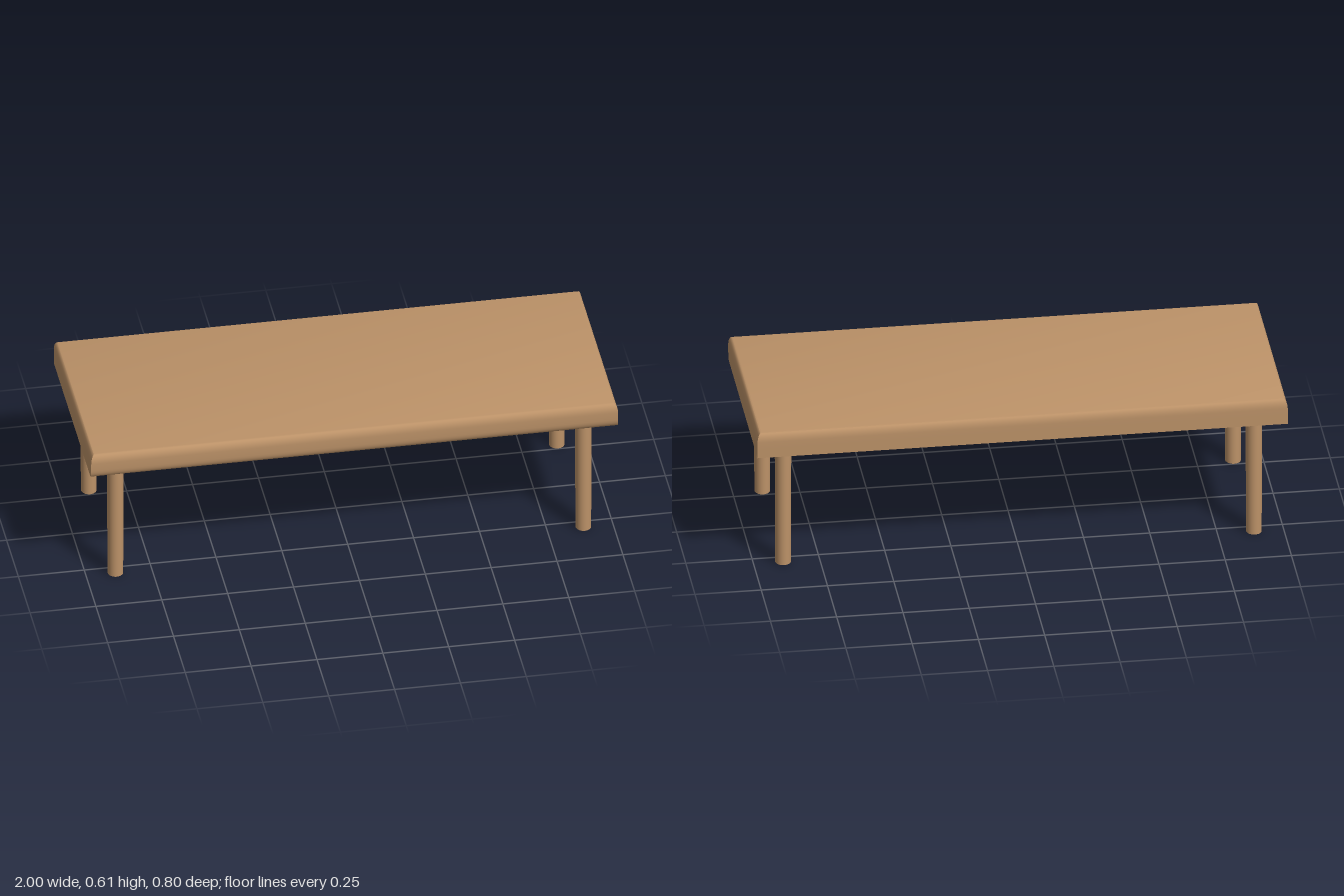
import * as THREE from 'three';
import { toCreasedNormals } from 'three/addons/utils/BufferGeometryUtils.js';

const STEPS = 6; // segments per rounded edge
const Y0 = 0.505, Y1 = 0.605;

// Slab made of stacked rectangular rings: the upper edge is rounded all round,
// the lower edge only along the front.
function slabGeometry() {
  const points = [], index = [];
  const ring = (y, inset, front) => {
    const x = 1 - inset, back = -0.4 + inset, f = 0.4 - front;
    points.push(-x, y, f, x, y, f, x, y, back, -x, y, back);
  };
  const inset = (t, r) => r * (1 - Math.cos(t));
  for (let i = 0; i <= STEPS; i++) {
    const t = (1 - i / STEPS) * Math.PI / 2;
    ring(Y0 + 0.035 * (1 - Math.sin(t)), 0, inset(t, 0.02));
  }
  for (let i = 0; i <= STEPS; i++) {
    const t = (i / STEPS) * Math.PI / 2;
    ring(Y1 - 0.035 * (1 - Math.sin(t)), inset(t, 0.016), inset(t, 0.02));
  }
  const rings = points.length / 12;
  for (let r = 0; r < rings - 1; r++) {
    for (let k = 0; k < 4; k++) {
      const a = r * 4 + k, b = r * 4 + (k + 1) % 4;
      index.push(a, b, b + 4, a, b + 4, a + 4);
    }
  }
  // Underside and upper face
  const u = (rings - 1) * 4;
  index.push(0, 2, 1, 0, 3, 2, u, u + 1, u + 2, u, u + 2, u + 3);
  const geometry = new THREE.BufferGeometry();
  geometry.setAttribute('position', new THREE.Float32BufferAttribute(points, 3));
  geometry.setIndex(index);
  // Ring order starts at the underside when rings[0] is the lowest
  return toCreasedNormals(geometry, 0.6);
}

export function createModel() {
  const group = new THREE.Group();
  group.name = 'table';
  const wood = new THREE.MeshStandardMaterial({ color: 0xbc9268 });
  wood.name = 'wood';

  const top = new THREE.Mesh(slabGeometry(), wood);
  top.name = 'tableTop';
  group.add(top);

  // Four slightly tapered, slightly oval legs
  const height = Y0 + 0.005;
  const legGeometry = new THREE.CylinderGeometry(0.034, 0.032, height, 24);
  legGeometry.scale(0.92, 1, 1);
  for (const sx of [-1, 1]) {
    for (const sz of [-1, 1]) {
      const leg = new THREE.Mesh(legGeometry, wood);
      leg.name = (sz > 0 ? 'front' : 'back') + (sx > 0 ? 'Left' : 'Right') + 'Leg';
      leg.position.set(sx * 0.888, height / 2, sz * 0.284);
      group.add(leg);
    }
  }
  return group;
}
